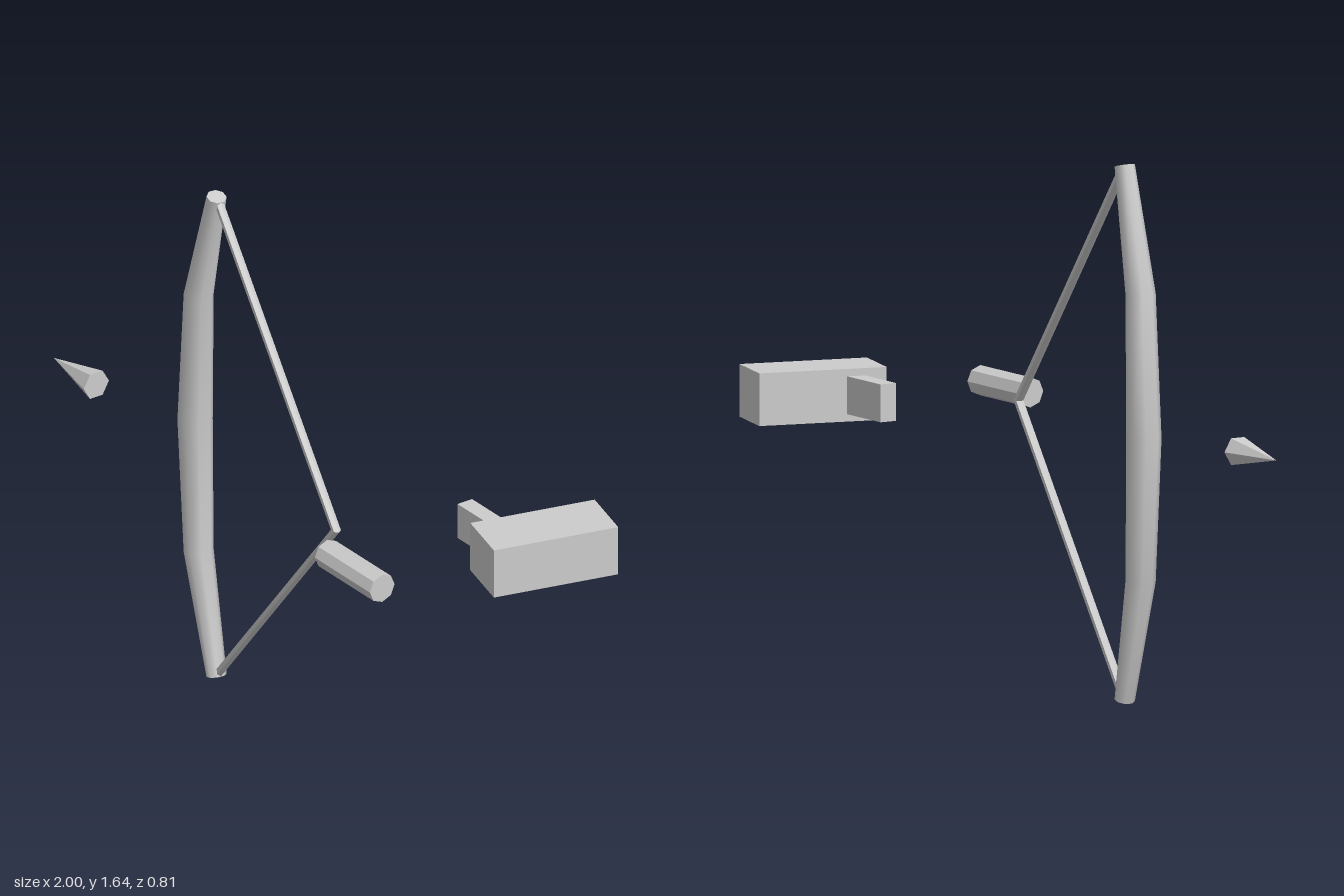
import * as THREE from 'three';

const grey = new THREE.MeshStandardMaterial({ color: 0xcccccc });
grey.name = 'plain grey';

// Faceted copy of a geometry
function faceted(geometry) {
  const g = geometry.index ? geometry.toNonIndexed() : geometry;
  g.computeVertexNormals();
  return g;
}

// Skins rings listed from bottom to top; each ring is { x, y, tilt, rx, rz } in the xy plane
function loft(rings, sides, phase) {
  const pos = [], index = [];
  const addRing = (r) => {
    for (let j = 0; j < sides; j++) {
      const a = phase + (j / sides) * Math.PI * 2;
      const u = Math.cos(a) * r.rx;
      pos.push(r.x + u * Math.cos(r.tilt), r.y + u * Math.sin(r.tilt), Math.sin(a) * r.rz);
    }
  };
  rings.forEach(addRing);
  for (let i = 0; i < rings.length - 1; i++) {
    for (let j = 0; j < sides; j++) {
      const k = (j + 1) % sides;
      const a = i * sides + j, b = i * sides + k;
      index.push(a, a + sides, b, b, a + sides, b + sides);
    }
  }
  // End caps with their own corners, so the rims stay sharp
  const bottom = pos.length / 3, top = bottom + sides;
  addRing(rings[0]);
  addRing(rings[rings.length - 1]);
  for (let j = 1; j < sides - 1; j++) {
    index.push(bottom, bottom + j, bottom + j + 1);
    index.push(top, top + j + 1, top + j);
  }
  const g = new THREE.BufferGeometry();
  g.setAttribute('position', new THREE.Float32BufferAttribute(pos, 3));
  g.setIndex(index);
  g.computeVertexNormals();
  return g;
}

// Completes an upper half (middle to tip) with its mirror image below
function mirrored(upper) {
  const lower = upper.slice(1).reverse().map((r) => ({ ...r, y: -r.y, tilt: -r.tilt }));
  return [...lower, ...upper];
}

export function createModel() {
  const model = new THREE.Group();
  const midY = 0.82;

  const add = (parent, name, geometry, x = 0, y = 0, z = 0) => {
    const mesh = new THREE.Mesh(geometry, grey);
    mesh.name = name;
    mesh.position.set(x, y, z);
    parent.add(mesh);
    return mesh;
  };

  // Bow with its drawn string, turned slightly about the vertical
  const bow = new THREE.Group();
  bow.name = 'bow';
  bow.position.set(-0.433, midY, 0.162);
  bow.rotation.y = -0.1;
  model.add(bow);

  add(bow, 'bowLimbs', loft(mirrored([
    { x: 0, y: 0, tilt: 0, rx: 0.06, rz: 0.052 },
    { x: 0.021, y: 0.435, tilt: -0.16, rx: 0.048, rz: 0.045 },
    { x: 0.126, y: 0.812, tilt: -0.27, rx: 0.03, rz: 0.031 },
  ]), 8, Math.PI / 8));

  add(bow, 'bowString', faceted(loft(mirrored([
    { x: 0.827, y: 0, tilt: 0, rx: 0.0185, rz: 0.014 },
    { x: 0.137, y: 0.8, tilt: 0.71, rx: 0.014, rz: 0.014 },
  ]), 6, 0)));

  // Arrowhead pointing to -x
  const head = add(model, 'arrowhead', faceted(new THREE.ConeGeometry(0.047, 0.215, 6)), -0.8925, midY, 0.27);
  head.rotation.z = Math.PI / 2;

  // Short octagonal rod
  const rod = add(model, 'rod', faceted(new THREE.CylinderGeometry(0.046, 0.046, 0.278, 8)), 0.634, midY, 0.355);
  rod.rotation.z = Math.PI / 2;

  // Angled block with a stub handle
  const block = add(model, 'block', new THREE.BoxGeometry(0.19, 0.16, 0.402), 0.857, midY, -0.187);
  block.rotation.y = -0.255;
  add(model, 'handle', new THREE.BoxGeometry(0.22, 0.115, 0.054), 0.67, midY, -0.11);

  return model;
}
